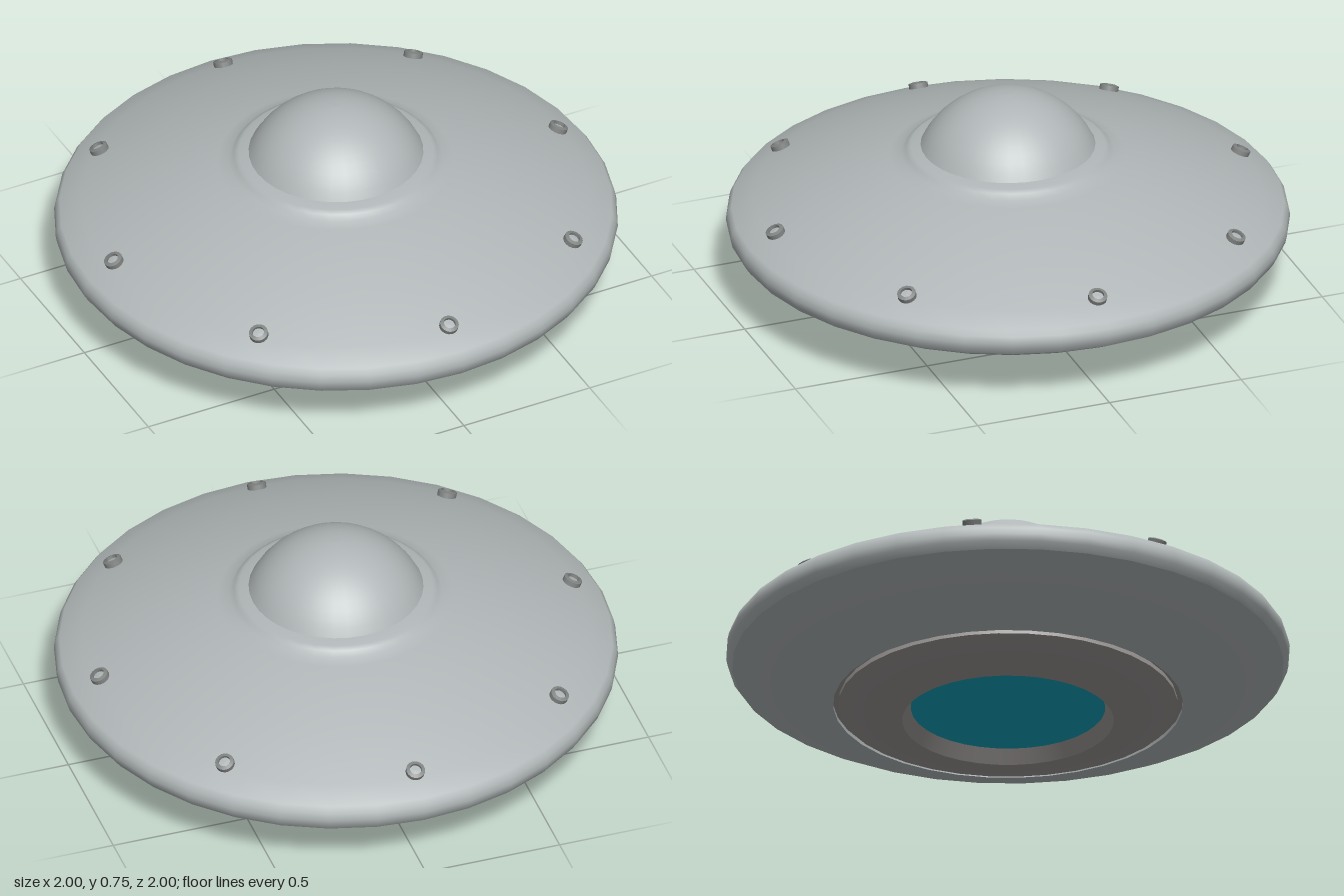
import * as THREE from 'three';

const SEGMENTS = 36;

const material = (name, color) => {
  const m = new THREE.MeshStandardMaterial({ color });
  m.name = name;
  return m;
};

// Turned part from [radius, height] points, ordered counter-clockwise round the section
function turned(name, points, mat, segments = SEGMENTS) {
  const profile = points.map(([r, y]) => new THREE.Vector2(r, y));
  const mesh = new THREE.Mesh(new THREE.LatheGeometry(profile, segments), mat);
  mesh.name = name;
  return mesh;
}

// Points on a shallow arc around the axis, from angle a to angle b measured from the top
function arc(radius, centreY, a, b, steps) {
  return Array.from({ length: steps + 1 }, (_, i) => {
    const t = a + (b - a) * i / steps;
    return [Math.max(0, radius * Math.sin(t)), centreY + radius * Math.cos(t)];
  });
}

export function createModel() {
  const hull = material('hull grey', 0xb0b6b7);
  const plate = material('belly grey', 0x9c9896);
  const lampMetal = material('lamp grey', 0x808482);
  const glow = material('beam cyan', 0x10a4bc);

  const model = new THREE.Group();
  model.name = 'saucer';

  // Upper shell with rounded rim and the collar under the dome
  model.add(turned('upperHull', [
    [0.978, 0.215], [0.995, 0.24], [1.0, 0.265], [0.995, 0.29], [0.98, 0.312],
    [0.9, 0.35], [0.8, 0.393], [0.7, 0.43], [0.6, 0.463], [0.5, 0.492], [0.42, 0.511],
    [0.378, 0.52], [0.362, 0.538], [0.345, 0.547], [0.3, 0.555],
  ], hull));

  // Lower shell
  model.add(turned('lowerHull', [
    [0.62, 0.064], [0.7, 0.09], [0.8, 0.128], [0.9, 0.172], [0.978, 0.215],
  ], hull));

  // Dome: a spherical cap
  const domeRadius = 0.344;
  const domeCentre = 0.406;
  const domeAngle = Math.acos((0.555 - domeCentre) / domeRadius);
  model.add(turned('dome', arc(domeRadius, domeCentre, domeAngle, 0, 12), hull));

  // Belly: groove, sloping plate, recess wall and concave beam lens
  model.add(turned('grooveFloor', [[0.595, 0.078], [0.62, 0.078]], plate));
  model.add(turned('grooveOuterWall', [[0.62, 0.078], [0.62, 0.064]], hull));
  model.add(turned('grooveInnerWall', [[0.602, 0.06], [0.6, 0.078]], plate));
  model.add(turned('bellyPlate', [[0.375, 0], [0.45, 0.016], [0.53, 0.037], [0.602, 0.06]], plate));
  model.add(turned('recessWall', [[0.345, 0.05], [0.375, 0]], plate));
  model.add(turned('beamLens', [
    [0, 0.095], [0.1, 0.091], [0.2, 0.08], [0.28, 0.065], [0.345, 0.05],
  ], glow));

  // Eight ring lamps standing on the slope of the shell
  for (let i = 0; i < 8; i++) {
    const pivot = new THREE.Group();
    pivot.name = 'lamp' + (i + 1);
    pivot.rotation.y = i * Math.PI / 4;
    const lamp = new THREE.Group();
    lamp.position.set(0, 0.358, 0.88);
    lamp.rotation.x = 0.43;
    lamp.add(
      turned('lampSide', [[0.034, -0.015], [0.034, 0.017]], lampMetal, 16),
      turned('lampRim', [[0.034, 0.017], [0.021, 0.021]], lampMetal, 16),
      turned('lampBore', [[0.021, 0.021], [0.021, 0.01]], lampMetal, 16),
      turned('lampLens', [[0.021, 0.01], [0, 0.012]], hull, 16),
    );
    pivot.add(lamp);
    model.add(pivot);
  }

  return model;
}
